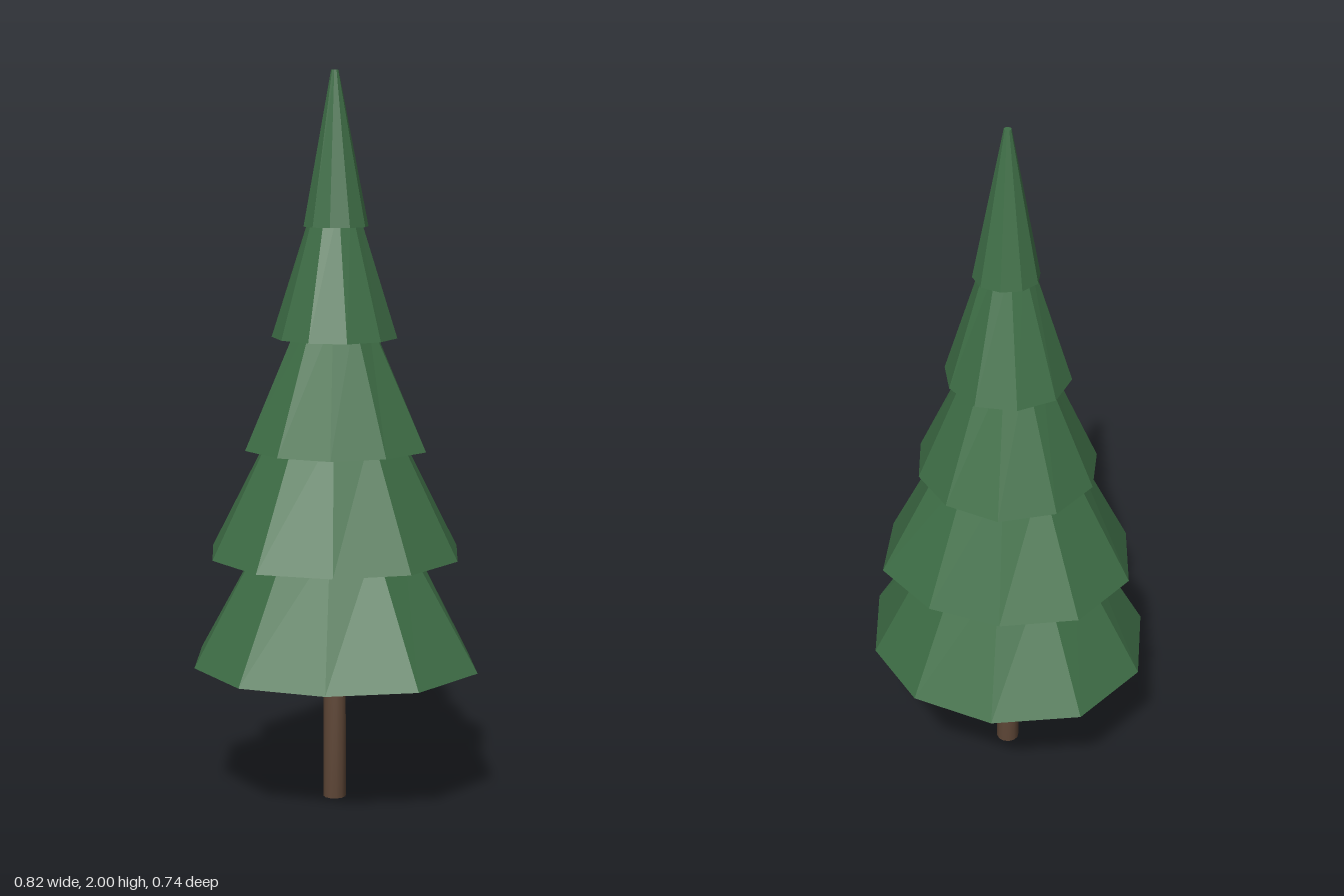
import * as THREE from 'three';
import { mergeVertices } from 'three/addons/utils/BufferGeometryUtils.js';

const foliage = new THREE.MeshStandardMaterial({ color: 0x3f6f47 });
foliage.name = 'foliageGreen';
const bark = new THREE.MeshStandardMaterial({ color: 0x5f4737 });
bark.name = 'barkBrown';

// Each tier: base height, height, top radius, turn in degrees, uneven rim radii
const tiers = [
  { y: 0.39, h: 0.36, top: 0.20, turn: 1, rim: [0.415, 0.411, 0.387, 0.397, 0.395, 0.405, 0.41, 0.386, 0.381, 0.384] },
  { y: 0.69, h: 0.36, top: 0.17, turn: -1.8, rim: [0.35, 0.349, 0.334, 0.345, 0.346, 0.36, 0.359, 0.331, 0.332, 0.356] },
  { y: 0.985, h: 0.36, top: 0.095, turn: 0, rim: [0.262, 0.247, 0.249, 0.244, 0.251, 0.25, 0.257, 0.259, 0.247, 0.246] },
  { y: 1.285, h: 0.36, top: 0.058, turn: -13.5, rim: [0.17, 0.168, 0.173, 0.165, 0.163, 0.173, 0.182, 0.182, 0.182, 0.17] },
  { y: 1.585, h: 0.415, top: 0.01, turn: 6, rim: [0.091, 0.088, 0.087, 0.084, 0.085, 0.09, 0.091, 0.09, 0.094, 0.092] },
];

// Ten-sided truncated cone whose lower rim is slightly irregular
function tierGeometry({ h, top, turn, rim }) {
  const geo = new THREE.CylinderGeometry(top, 1, h, 10).rotateY(Math.PI / 2).translate(0, h / 2, 0);
  const pos = geo.attributes.position;
  const step = Math.PI / 5;
  for (let i = 0; i < pos.count; i++) {
    const x = pos.getX(i), z = pos.getZ(i);
    if (Math.hypot(x, z) < 1e-4) continue;
    const k = (Math.round(Math.atan2(z, x) / step) + 10) % 10;
    const a = k * step + THREE.MathUtils.degToRad(turn);
    const r = pos.getY(i) < h / 2 ? rim[k] : top;
    pos.setX(i, r * Math.cos(a));
    pos.setZ(i, r * Math.sin(a));
  }
  // Separate faces give hard facets
  const flat = geo.toNonIndexed();
  flat.computeVertexNormals();
  return flat;
}

// Trunk with normals smoothed over its ends
function trunkGeometry() {
  const geo = new THREE.CylinderGeometry(0.031, 0.032, 0.42, 12).translate(0, 0.21, 0);
  geo.deleteAttribute('normal');
  geo.deleteAttribute('uv');
  const smooth = mergeVertices(geo);
  smooth.computeVertexNormals();
  return smooth;
}

export function createModel() {
  const tree = new THREE.Group();
  tree.name = 'pineTree';

  const trunk = new THREE.Mesh(trunkGeometry(), bark);
  trunk.name = 'trunk';
  trunk.position.set(-0.005, 0, -0.003);
  tree.add(trunk);

  tiers.forEach((tier, i) => {
    const mesh = new THREE.Mesh(tierGeometry(tier), foliage);
    mesh.name = `foliageTier${i + 1}`;
    mesh.position.set(-0.005, tier.y, -0.005);
    tree.add(mesh);
  });
  return tree;
}
